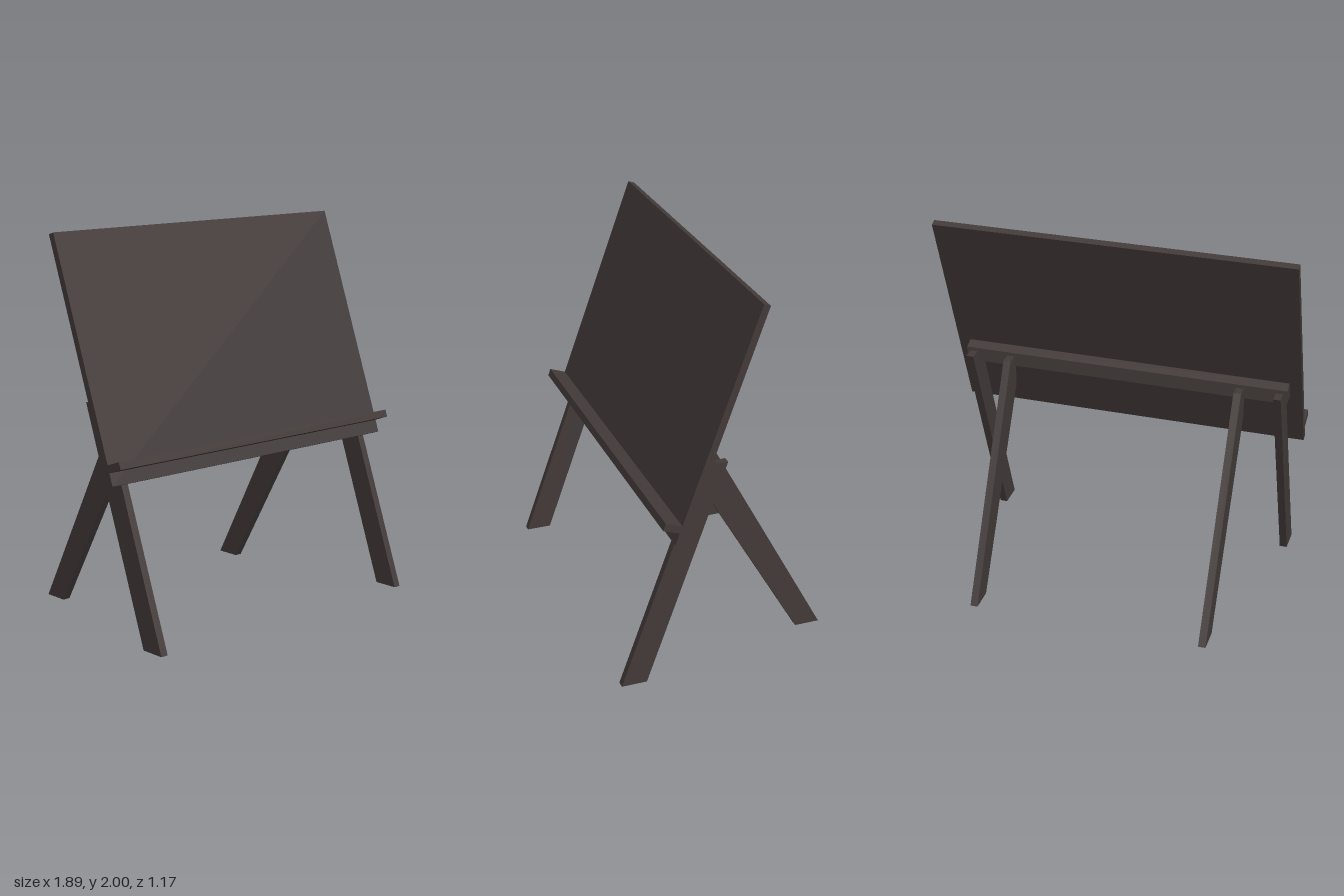
import * as THREE from 'three';

const wood = new THREE.MeshStandardMaterial({ color: 0x423a39 });
wood.name = 'dark wood';

// Extrudes a side profile of [z, y] points to a given width, centred on x
function profilePart(name, points, width, x = 0) {
  const shape = new THREE.Shape(points.map(([z, y]) => new THREE.Vector2(z, y)));
  const geometry = new THREE.ExtrudeGeometry(shape, { depth: width, bevelEnabled: false });
  geometry.rotateY(-Math.PI / 2);
  geometry.translate(width / 2, 0, 0);
  const mesh = new THREE.Mesh(geometry, wood);
  mesh.name = name;
  mesh.position.x = x;
  return mesh;
}

export function createModel() {
  const model = new THREE.Group();
  model.name = 'easel';

  // Panel leaning back by 20 degrees
  model.add(profilePart('board',
    [[0.335, 0.812], [-0.098, 2.0], [-0.132, 1.988], [0.301, 0.8]], 1.89));

  // Ledge standing square to the panel
  model.add(profilePart('ledge',
    [[0.384, 0.942], [0.397, 0.905], [0.311, 0.874], [0.298, 0.911]], 1.89));

  // Cross beam behind the panel, resting in the notches of the front legs
  model.add(profilePart('crossBeam',
    [[0.152, 1.21], [0.1, 1.19], [0.1, 1.115], [0.187, 1.115]], 1.76));

  for (const [side, label] of [[1, 'left'], [-1, 'right']]) {
    // Front leg, parallel to the panel, notched at the top
    model.add(profilePart(`${label}FrontLeg`,
      [[0.588, 0], [0.455, 0], [0.032, 1.17], [0.1, 1.17], [0.1, 1.115], [0.183, 1.115]],
      0.04, side * 0.84));

    // Rear leg, widening towards the cross beam
    model.add(profilePart(`${label}RearLeg`,
      [[-0.587, 0], [-0.455, 0], [0.12, 0.995], [0.12, 1.115], [0.1, 1.115], [0.1, 1.17], [0.04, 1.17]],
      0.04, side * 0.63));
  }
  return model;
}
